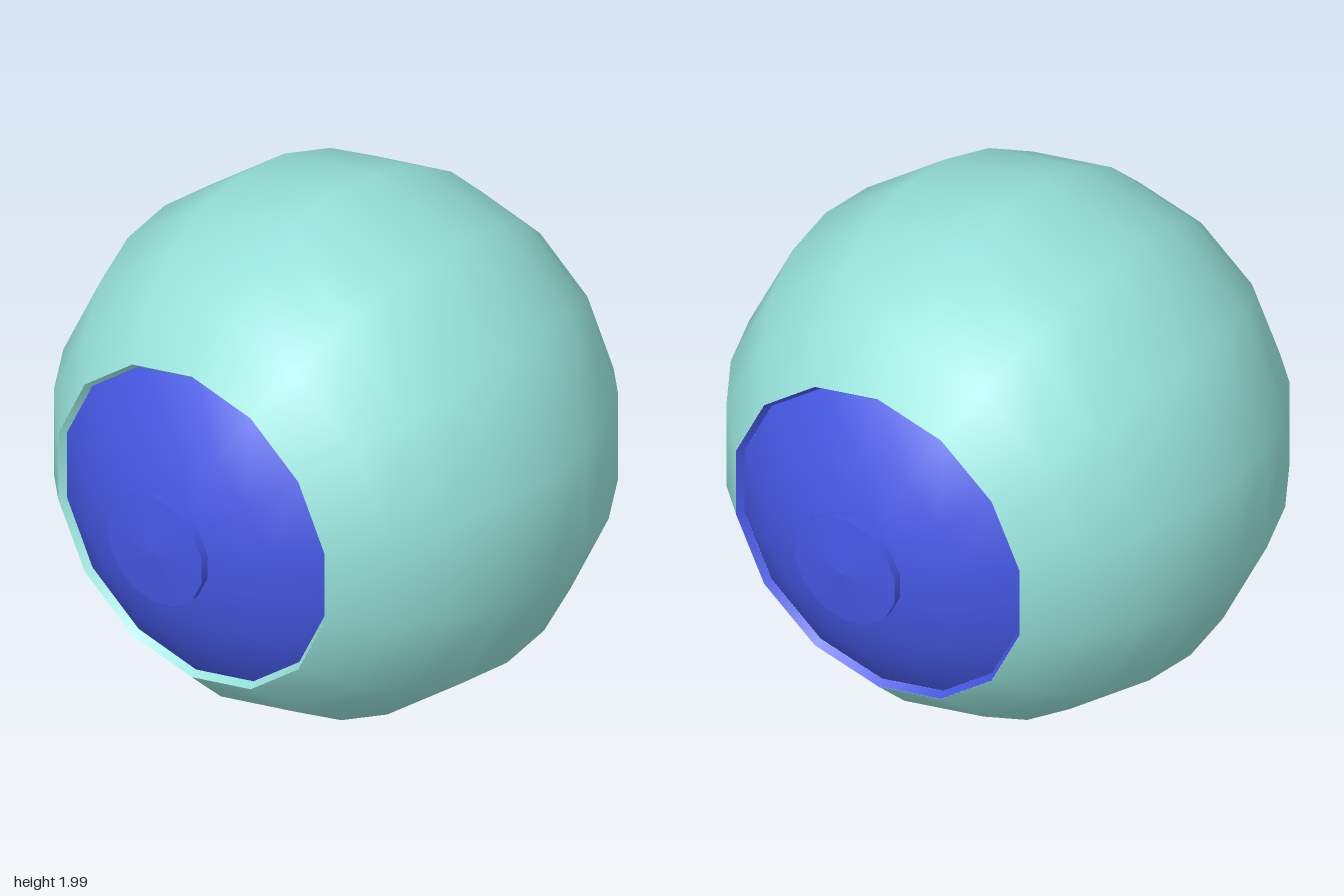
import * as THREE from 'three';

const SIDES = 14;
const STEP = Math.PI / SIDES;

export function createModel() {
  const model = new THREE.Group();
  const teal = new THREE.MeshStandardMaterial({ color: 0x95e0d8 });
  teal.name = 'teal';
  const blue = new THREE.MeshStandardMaterial({ color: 0x4456e0 });
  blue.name = 'blue';

  const add = (parent, name, geometry, material) => {
    const mesh = new THREE.Mesh(geometry, material);
    mesh.name = name;
    parent.add(mesh);
  };
  // Profile of [radius, height] pairs turned about the axis, corners up and down
  const turned = (...points) => new THREE.LatheGeometry(
    points.map(([r, h]) => new THREE.Vector2(r, h)), SIDES, Math.PI / 2);

  // Ball shell with both ends open; its axis is laid along x
  const body = new THREE.Group();
  body.name = 'body';
  body.rotation.z = -Math.PI / 2;
  add(body, 'shell', new THREE.SphereGeometry(0.995, SIDES, 8, 0, Math.PI * 2, 3 * STEP, 8 * STEP), teal);
  model.add(body);

  // End caps: recessed dome, shell rim and raised button
  for (const [side, sign, rimColour] of [['left', 1, blue], ['right', -1, teal]]) {
    const end = new THREE.Group();
    end.name = side + 'End';
    end.rotation.z = -sign * Math.PI / 2;
    add(end, side + 'Dome', new THREE.SphereGeometry(0.964, SIDES, 3, 0, Math.PI * 2, 0, 3 * STEP), blue);
    add(end, side + 'Rim', turned([0.62, 0.778], [0.601, 0.754]), rimColour);
    add(end, side + 'ButtonSide', turned([0.2145, 0.938], [0.217, 0.974]), blue);
    add(end, side + 'ButtonFace', turned([0.217, 0.974], [0, 1]), blue);
    model.add(end);
  }

  model.position.y = 1;
  const root = new THREE.Group();
  root.name = 'ball';
  root.add(model);
  return root;
}
